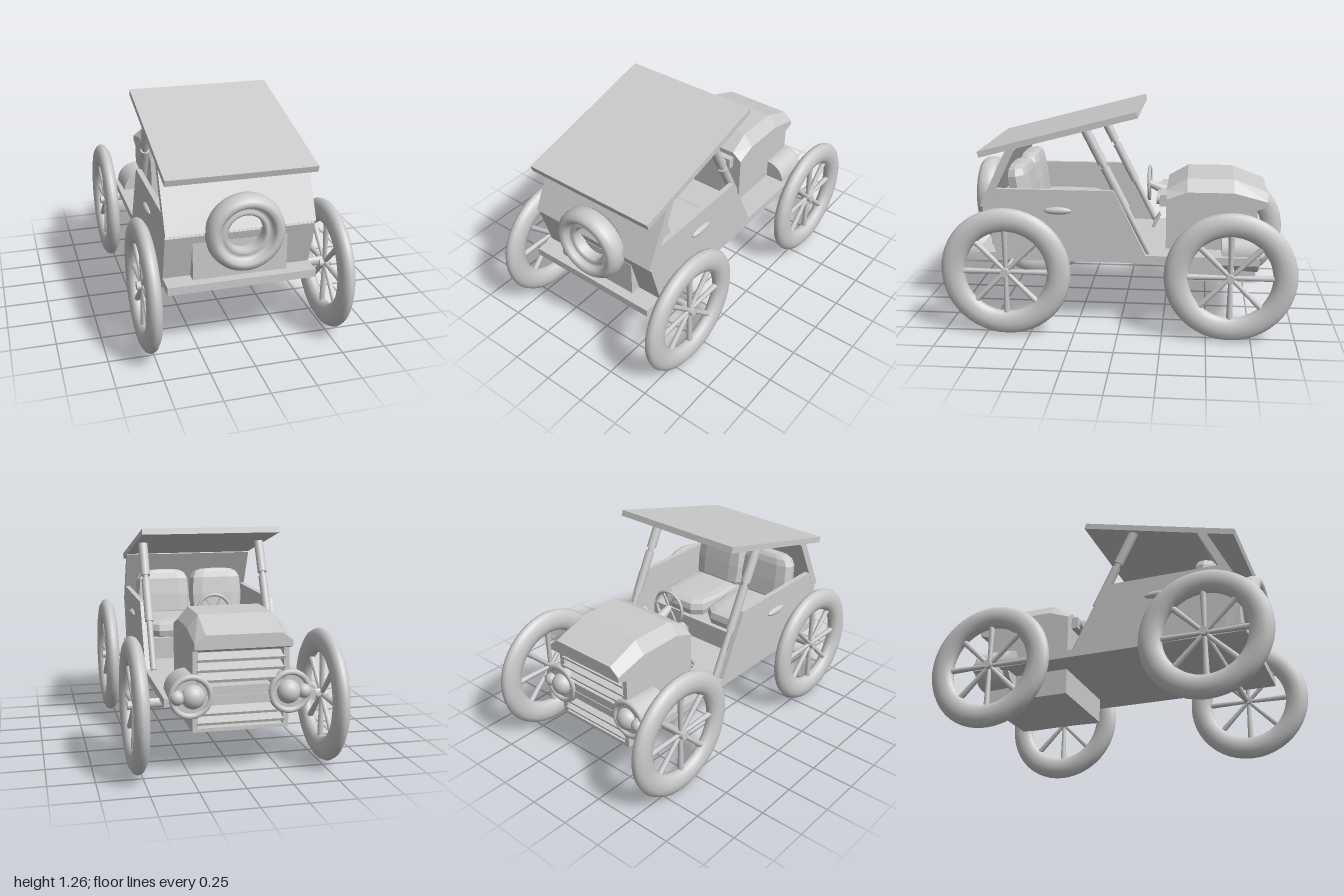
import * as THREE from 'three';

const CX = -0.022; // the body sits slightly off the wheel centreline
const grey = new THREE.MeshStandardMaterial({ color: 0xcccccc, side: THREE.DoubleSide });
const flat = new THREE.MeshStandardMaterial({ color: 0xcccccc, side: THREE.DoubleSide, flatShading: true });

export function createModel() {
  const car = new THREE.Group();
  car.name = 'vintageCar';

  const add = (name, geo, x = 0, y = 0, z = 0, mat = grey, parent = car) => {
    const m = new THREE.Mesh(geo, mat);
    m.name = name;
    m.position.set(x, y, z);
    parent.add(m);
    return m;
  };
  const box = (name, w, y0, y1, z0, z1, x = CX) =>
    add(name, new THREE.BoxGeometry(w, y1 - y0, Math.abs(z1 - z0)), x, (y0 + y1) / 2, (z0 + z1) / 2);
  // cylinder between two points
  const rod = (name, a, b, r, r2 = r, sides = 14) => {
    const A = new THREE.Vector3(...a), B = new THREE.Vector3(...b);
    const d = B.clone().sub(A);
    const m = add(name, new THREE.CylinderGeometry(r2, r, d.length(), sides));
    m.position.copy(A).add(B).multiplyScalar(0.5);
    m.quaternion.setFromUnitVectors(new THREE.Vector3(0, 1, 0), d.normalize());
    return m;
  };
  // slab following a line in the side plane, given by its two end points (z, y)
  const slab = (name, z0, y0, z1, y1, thick, w = 0.825) => {
    const m = add(name, new THREE.BoxGeometry(w, thick, Math.hypot(z1 - z0, y1 - y0)), CX, (y0 + y1) / 2, (z0 + z1) / 2);
    m.rotation.x = -Math.atan2(y1 - y0, z1 - z0);
    return m;
  };

  // wheels: oval tyre, hub and eight spokes
  for (const x of [-0.527, 0.527]) for (const z of [-0.63, 0.63]) {
    const wheel = new THREE.Group();
    wheel.name = 'wheel';
    wheel.position.set(x, 0.38, z);
    wheel.rotation.y = Math.PI / 2;
    car.add(wheel);
    add('tyre', new THREE.TorusGeometry(0.302, 0.068, 12, 48).scale(1, 1, 0.63), 0, 0, 0, grey, wheel);
    add('hub', new THREE.CylinderGeometry(0.024, 0.024, 0.07, 12).rotateX(Math.PI / 2), 0, 0, 0, grey, wheel);
    for (let i = 0; i < 8; i++) {
      const spoke = add('spoke', new THREE.CylinderGeometry(0.018, 0.012, 0.24, 8).translate(0, 0.13, 0), 0, 0, 0, grey, wheel);
      spoke.rotation.z = i * Math.PI / 4;
    }
  }
  for (const z of [-0.635, 0.62]) {
    add('axle', new THREE.CylinderGeometry(0.026, 0.026, 1.03, 14).rotateZ(Math.PI / 2).scale(1, 1, 0.7), 0, 0.388, z);
  }

  // chassis, roof and leaning rear panels
  box('chassis', 0.825, 0.405, 0.45, -0.79, 0.83);
  slab('roof', 0.8, 1.02, -0.1, 1.255, 0.035);
  slab('rearUpperPanel', 0.78, 0.715, 0.61, 1.06, 0.045);
  slab('rearLowerPanel', 0.7, 0.45, 0.77, 0.71, 0.03);
  box('rearTrunk', 0.525, 0.45, 0.66, 0.68, 0.775);

  // body sides with handles and front posts
  const side = new THREE.Shape([[0.7, 0.45], [0.77, 0.71], [0.715, 0.825], [0.03, 0.825], [-0.15, 0.45]]
    .map(([z, y]) => new THREE.Vector2(-z, y)));
  for (const s of [-1, 1]) {
    const g = new THREE.ExtrudeGeometry(side, { depth: 0.03, bevelEnabled: false });
    g.translate(0, 0, -0.015).rotateY(Math.PI / 2);
    add('bodySide', g, CX + s * 0.397);
    add('doorHandle', new THREE.SphereGeometry(1, 16, 10).scale(0.02, 0.022, 0.08), CX + s * 0.415, 0.705, 0.35);
    const at = t => [CX + s * 0.367, 1.17 - 0.72 * t, 0.195 - 0.365 * t];
    for (const [t0, t1, r] of [[0, 0.27, 0.028], [0.25, 0.33, 0.017], [0.3, 0.63, 0.026], [0.61, 1, 0.018]]) {
      rod('roofPost', at(t0), at(t1), r);
    }
  }

  // bench seat with padded cushions
  const pad = (name, w, h, d, x, y, z, tilt) => {
    const m = add(name, new THREE.SphereGeometry(1, 10, 8), x, y, z, flat);
    const p = m.geometry.attributes.position;
    for (let i = 0; i < p.count; i++) { // square the ball off into a cushion
      const f = v => Math.sign(v) * Math.sqrt(Math.abs(v));
      p.setXYZ(i, f(p.getX(i)) * w, f(p.getY(i)) * h, f(p.getZ(i)) * d);
    }
    m.geometry.computeVertexNormals();
    m.rotation.x = tilt;
  };
  box('seatBase', 0.74, 0.45, 0.58, 0.12, 0.66);
  for (const s of [-1, 1]) {
    pad('seatCushion', 0.18, 0.06, 0.25, CX + s * 0.18, 0.62, 0.38, 0);
    pad('seatBack', 0.18, 0.17, 0.065, CX + s * 0.18, 0.78, 0.585, 0.15);
  }

  // spare wheel with a stepped rim
  const profile = [[0.1, -0.05], [0.1, 0.02], [0.115, 0.035], [0.125, 0.02], [0.145, 0.025], [0.15, 0.05], [0.165, 0.065],
    [0.19, 0.06], [0.21, 0.035], [0.216, 0], [0.21, -0.035], [0.19, -0.06], [0.1, -0.05]].map(p => new THREE.Vector2(...p));
  add('spareWheel', new THREE.LatheGeometry(profile, 40).rotateX(Math.PI / 2), -0.01, 0.715, 0.81);

  // engine block with cheeks and slatted grille
  box('engineBlock', 0.525, 0.255, 0.72, -0.26, -0.72);
  for (const s of [-1, 1]) box('grilleCheek', 0.03, 0.255, 0.72, -0.72, -0.785, CX + s * 0.2475);
  box('grilleCrossbar', 0.525, 0.4, 0.5, -0.72, -0.785);
  box('grilleSill', 0.525, 0.255, 0.275, -0.72, -0.785);
  for (const y of [0.31, 0.36, 0.54, 0.595, 0.65]) {
    const slat = add('grilleSlat', new THREE.BoxGeometry(0.48, 0.015, 0.07), CX, y, -0.755);
    slat.rotation.x = -0.35;
  }

  // hood lofted from sections: z, bottom, shoulder, top
  const sections = [[-0.26, 0.69, 0.745, 0.79], [-0.38, 0.65, 0.79, 0.86], [-0.65, 0.65, 0.79, 0.86], [-0.845, 0.71, 0.74, 0.785]];
  const verts = [], index = [];
  for (const [z, b, s, t] of sections) {
    for (const [x, y] of [[0.263, b], [0.263, s], [0.205, t], [-0.205, t], [-0.263, s], [-0.263, b]]) verts.push(x, y, z);
  }
  for (let k = 0; k < 3; k++) for (let i = 0; i < 6; i++) {
    const a = k * 6 + i, b = k * 6 + (i + 1) % 6;
    index.push(a, a + 6, b, b, a + 6, b + 6);
  }
  for (let i = 1; i < 5; i++) index.push(0, i, i + 1, 18, 18 + i + 1, 18 + i);
  const hood = new THREE.BufferGeometry();
  hood.setAttribute('position', new THREE.Float32BufferAttribute(verts, 3));
  hood.setIndex(index);
  hood.computeVertexNormals();
  add('hood', hood, CX, 0, 0, flat);

  // headlamps: housing, rim, large bulb and small outer lamp
  for (const s of [-1, 1]) {
    const x = CX + s * 0.27;
    add('lampHousing', new THREE.CylinderGeometry(0.11, 0.12, 0.2, 24).rotateX(Math.PI / 2), x, 0.45, -0.685);
    add('lampRim', new THREE.TorusGeometry(0.105, 0.016, 8, 28), x, 0.45, -0.785);
    add('lampBulb', new THREE.SphereGeometry(0.065, 18, 12).scale(1, 1, 0.9), x - s * 0.01, 0.45, -0.785);
    add('smallLamp', new THREE.SphereGeometry(0.04, 14, 10), x + s * 0.075, 0.45, -0.79);
  }

  // steering wheel, column, dashboard and pedal
  add('steeringWheel', new THREE.TorusGeometry(0.098, 0.01, 8, 28), CX, 0.785, -0.15);
  for (let i = 0; i < 3; i++) {
    const bar = add('steeringSpoke', new THREE.BoxGeometry(0.19, 0.012, 0.01), CX, 0.785, -0.15);
    bar.rotation.z = i * Math.PI / 3;
  }
  rod('steeringColumn', [CX, 0.785, -0.14], [CX, 0.73, -0.27], 0.02, 0.035);
  box('dashboard', 0.42, 0.69, 0.76, -0.22, -0.27);
  for (const s of [-1, 0, 1]) {
    add('gauge', new THREE.CylinderGeometry(0.035, 0.035, 0.03, 16).rotateX(Math.PI / 2), CX + s * 0.15, 0.725, -0.215);
  }
  rod('pedalArm', [-0.21, 0.45, -0.16], [-0.21, 0.53, -0.2], 0.01);
  slab('pedal', -0.17, 0.49, -0.21, 0.545, 0.015, 0.06).position.x = -0.21;

  return car;
}
